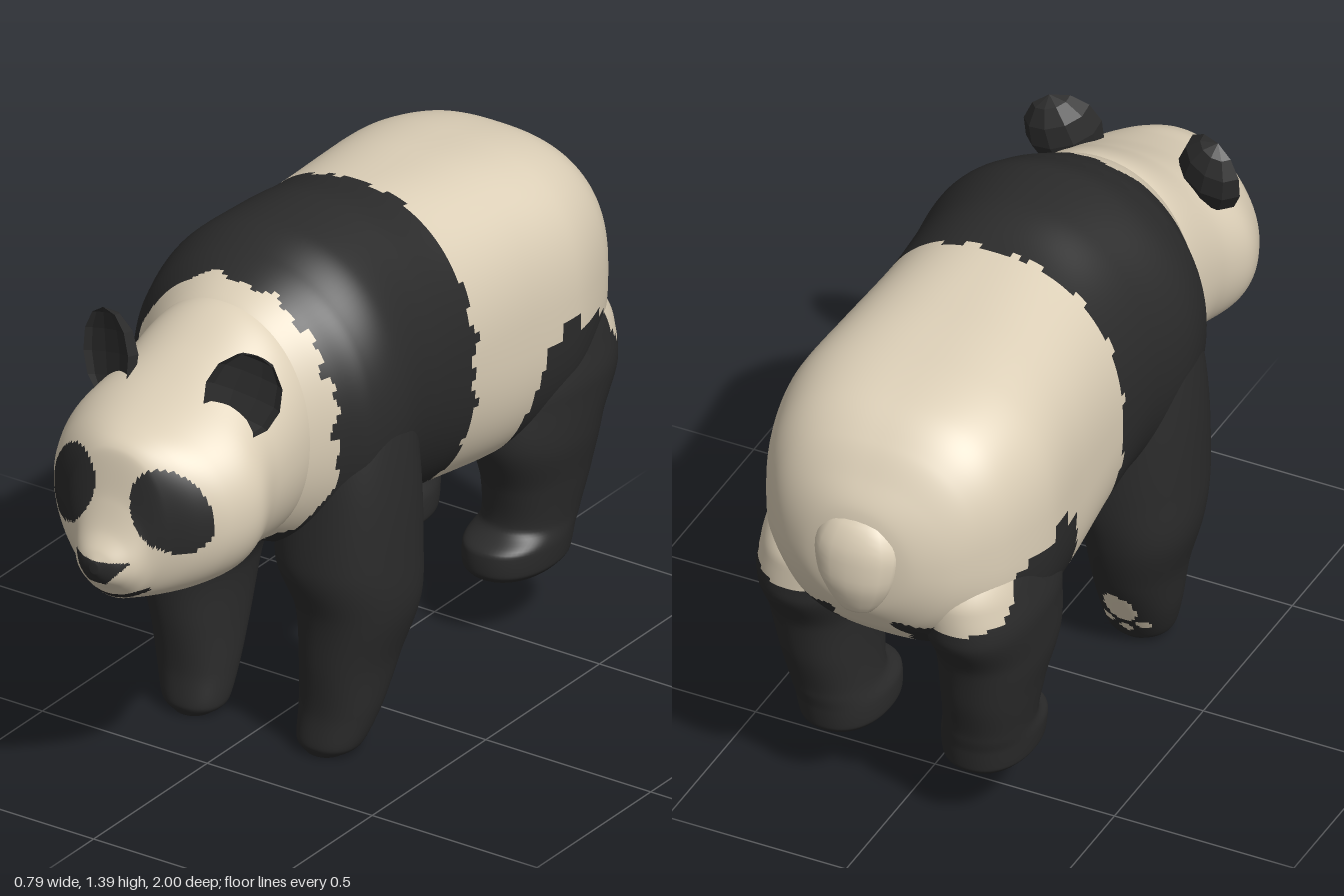
import * as THREE from 'three';

const cream = new THREE.MeshStandardMaterial({ color: 0xddd0b8 });
cream.name = 'creamFur';
const black = new THREE.MeshStandardMaterial({ color: 0x2b2b2b });
black.name = 'blackFur';
const CREAM = 0, BLACK = 1;

// Uneven fur edge
const fray = (a) => 0.008 * (Math.sin(31 * a) + Math.sin(67 * a + 1));

// Smooth interpolation through rows without overshoot
function sampleRows(rows, u) {
  const i = Math.min(Math.floor(u), rows.length - 2), f = u - i;
  const at = (n) => rows[Math.max(0, Math.min(rows.length - 1, n))];
  const slope = (d, e) => (d * e > 0 ? (2 * d * e) / (d + e) : 0);
  return rows[0].map((_, k) => {
    const [p, a, b, n] = [at(i - 1)[k], at(i)[k], at(i + 1)[k], at(i + 2)[k]];
    const m0 = i === 0 ? b - a : slope(a - p, b - a);
    const m1 = i === rows.length - 2 ? b - a : slope(b - a, n - b);
    const f2 = f * f, f3 = f2 * f;
    return (2 * f3 - 3 * f2 + 1) * a + (f3 - 2 * f2 + f) * m0 + (3 * f2 - 2 * f3) * b + (f3 - f2) * m1;
  });
}

// Loft of oval rings; rows are [along, centreX, centreOther, radiusX, radiusOther, squareness]
function loft(name, axis, rows, sides, rings, paint) {
  const pos = [], faces = [[], []];
  const put = (x, o, t) => (axis === 'z' ? pos.push(x, o, t) : pos.push(x, t, -o));
  for (let i = 0; i <= rings; i++) {
    const [t, cx, co, rx, ro, power = 2.2] = sampleRows(rows, (i / rings) * (rows.length - 1));
    for (let j = 0; j < sides; j++) {
      const c = Math.cos((j / sides) * Math.PI * 2), s = Math.sin((j / sides) * Math.PI * 2);
      const bulge = (v) => Math.sign(v) * Math.abs(v) ** (2 / power);
      put(cx + rx * bulge(c), (axis === 'z' ? co : -co) + ro * bulge(s), t);
    }
  }
  const ends = [rows[0], rows[rows.length - 1]].map(([t, cx, co]) => {
    put(cx, axis === 'z' ? co : -co, t);
    return pos.length / 3 - 1;
  });
  // Each patch takes the colour at its middle
  const patch = (corners, order) => {
    const mid = [0, 1, 2].map((k) => corners.reduce((sum, v) => sum + pos[v * 3 + k], 0) / corners.length);
    faces[paint(...mid)].push(...order.map((n) => corners[n]));
  };
  for (let j = 0; j < sides; j++) {
    const n = (j + 1) % sides, last = rings * sides;
    for (let i = 0; i < rings; i++) {
      const a = i * sides + j, b = i * sides + n;
      patch([a, b, b + sides, a + sides], [0, 1, 3, 1, 2, 3]);
    }
    patch([ends[0], n, j], [0, 1, 2]);
    patch([ends[1], last + j, last + n], [0, 1, 2]);
  }
  const geo = new THREE.BufferGeometry();
  geo.setAttribute('position', new THREE.Float32BufferAttribute(pos, 3));
  geo.setIndex([...faces[CREAM], ...faces[BLACK]]);
  geo.addGroup(0, faces[CREAM].length, 0);
  geo.addGroup(faces[CREAM].length, faces[BLACK].length, 1);
  geo.computeVertexNormals();
  const mesh = new THREE.Mesh(geo, [cream, black]);
  mesh.name = name;
  return mesh;
}

// Rows given as [z, top, bottom, halfWidth, squareness]
const fromProfile = (rows) =>
  rows.map(([z, top, bot, w, p = 2.1]) => [z, 0, (top + bot) / 2, w, (top - bot) / 2, p]);

// Black band round the shoulders and black haunches
function bodyPaint(x, y, z) {
  if (z > -0.16 + fray(y + x) && z < (y < 0.66 ? 0.42 : 0.37) + fray(y - x)) return BLACK;
  const front = THREE.MathUtils.smoothstep(-z, 0.4, 0.48);
  const back = THREE.MathUtils.smoothstep(-z, 0.67, 0.83);
  const edge = 0.7 + 0.19 * front - 0.16 * back + fray(z);
  return z < -0.41 && Math.abs(x) > 0.09 + fray(y) && y < edge ? BLACK : CREAM;
}

// Eye patches, nose and mouth line
function facePaint(x, y, z) {
  const ax = Math.abs(x);
  if (z > 0.7) {
    const dx = ax - 0.148, dy = y - 0.91;
    const along = dx * 0.55 - dy * 0.83, across = dx * 0.83 + dy * 0.55;
    if ((along / 0.118) ** 2 + (across / 0.082) ** 2 < 1) return BLACK;
  }
  if (z > 0.9 && y > 0.715 && y < 0.78 && ax < 0.025 + 0.9 * (y - 0.715)) return BLACK;
  if (z > 0.84 && ax < 0.1 && Math.abs(y - 0.66 - 3 * x * x) < 0.007) return BLACK;
  return CREAM;
}

// Cupped ear: the front half of a ball pushed back into a shallow bowl
function ear(side) {
  const geo = new THREE.SphereGeometry(1, 10, 6);
  const p = geo.attributes.position;
  for (let i = 0; i < p.count; i++) if (p.getZ(i) > 0) p.setZ(i, -0.3 * p.getZ(i));
  geo.scale(0.1, 0.118, 0.075);
  const flat = geo.toNonIndexed();
  flat.computeVertexNormals();
  const mesh = new THREE.Mesh(flat, black);
  mesh.name = side > 0 ? 'leftEar' : 'rightEar';
  mesh.position.set(side * 0.208, 1.152, 0.645);
  mesh.rotation.set(-0.15, side * 0.38, -side * 0.25);
  return mesh;
}

function frontLeg(side) {
  const rows = [
    [0, 0.2, 0.26, 0.05, 0.055], [0.025, 0.203, 0.255, 0.082, 0.075], [0.12, 0.215, 0.225, 0.103, 0.1],
    [0.25, 0.226, 0.2, 0.117, 0.138], [0.4, 0.24, 0.185, 0.146, 0.167], [0.55, 0.22, 0.195, 0.176, 0.19],
    [0.75, 0.23, 0.195, 0.164, 0.175], [0.95, 0.22, 0.19, 0.157, 0.15], [1.12, 0.16, 0.18, 0.12, 0.12],
  ].map(([y, x, ...rest]) => [y, side * x, ...rest]);
  // Paw pad and toe pads on the back of the foot
  const paint = (x, y, z) => {
    const dx = x - side * 0.21;
    if (z > 0.24 || y > 0.25) return BLACK;
    if ((dx / 0.045) ** 2 + ((y - 0.155) / 0.055) ** 2 < 1) return CREAM;
    return [-0.048, 0, 0.048].some((t) => Math.hypot(dx - t, y - 0.07 - Math.abs(t) * 0.4) < 0.017) ? CREAM : BLACK;
  };
  return loft(side > 0 ? 'leftFrontLeg' : 'rightFrontLeg', 'y', rows, 72, 100, paint);
}

function rearLeg(side) {
  const rows = [
    [0.18, 0.2, -0.57, 0.1, 0.145], [0.2, 0.2, -0.57, 0.115, 0.16], [0.255, 0.203, -0.575, 0.12, 0.165],
    [0.31, 0.212, -0.615, 0.112, 0.138], [0.42, 0.224, -0.622, 0.12, 0.162], [0.55, 0.232, -0.61, 0.138, 0.202],
    [0.68, 0.232, -0.642, 0.148, 0.235], [0.78, 0.212, -0.645, 0.157, 0.235], [0.88, 0.195, -0.63, 0.155, 0.2],
    [1, 0.16, -0.62, 0.1, 0.1],
  ].map(([y, x, ...rest]) => [y, side * x, ...rest]);
  const group = new THREE.Group();
  group.name = side > 0 ? 'leftRearLeg' : 'rightRearLeg';
  const paint = (x, y, z) => (y < 0.67 ? BLACK : bodyPaint(x, y, z));
  group.add(loft('rearLegFur', 'y', rows, 64, 80, paint));
  // Pads under the foot
  const pad = (name, dx, z, rx, rz) => {
    const mesh = new THREE.Mesh(new THREE.CircleGeometry(1, 16), cream);
    mesh.name = name;
    mesh.rotation.x = Math.PI / 2;
    mesh.scale.set(rx, rz, 1);
    mesh.position.set(side * 0.2 + dx, 0.177, z);
    group.add(mesh);
  };
  pad('solePad', 0, -0.56, 0.06, 0.05);
  for (const dx of [-0.045, 0, 0.045]) pad('toePad', dx, -0.475 - Math.abs(dx) * 0.3, 0.016, 0.016);
  return group;
}

export function createModel() {
  const model = new THREE.Group();
  model.name = 'bear';

  model.add(loft('torso', 'z', fromProfile([
    [-0.955, 0.99, 0.84, 0.06], [-0.94, 1.06, 0.77, 0.14], [-0.9, 1.13, 0.7, 0.225, 2.3], [-0.84, 1.21, 0.64, 0.29, 2.5],
    [-0.75, 1.275, 0.57, 0.345, 2.6], [-0.58, 1.315, 0.51, 0.382, 2.7], [-0.4, 1.335, 0.5, 0.37, 2.6],
    [-0.15, 1.36, 0.515, 0.358, 2.3], [0.02, 1.39, 0.52, 0.365], [0.18, 1.385, 0.53, 0.385], [0.29, 1.345, 0.55, 0.365],
    [0.36, 1.31, 0.58, 0.315], [0.42, 1.275, 0.605, 0.268], [0.52, 1.19, 0.66, 0.2],
  ]), 110, 150, bodyPaint));

  model.add(loft('head', 'z', fromProfile([
    [0.3, 1.28, 0.63, 0.24], [0.43, 1.268, 0.615, 0.262], [0.58, 1.195, 0.625, 0.272], [0.69, 1.14, 0.622, 0.297],
    [0.78, 1.105, 0.625, 0.27], [0.85, 1.082, 0.632, 0.215], [0.895, 1.05, 0.64, 0.155], [0.925, 0.92, 0.652, 0.11],
    [0.955, 0.84, 0.685, 0.085], [0.985, 0.8, 0.715, 0.05], [1, 0.775, 0.745, 0.012],
  ]), 110, 130, facePaint));

  // Stubby tail hanging down the rump
  model.add(loft('tail', 'y', [
    [0.77, 0, -0.93, 0.045, 0.035], [0.8, 0, -0.93, 0.07, 0.05], [0.87, 0, -0.932, 0.105, 0.068],
    [0.95, 0, -0.925, 0.118, 0.07], [1.02, 0, -0.905, 0.09, 0.06], [1.06, 0, -0.88, 0.03, 0.03],
  ], 16, 18, () => CREAM));

  for (const side of [1, -1]) model.add(ear(side), frontLeg(side), rearLeg(side));
  return model;
}
